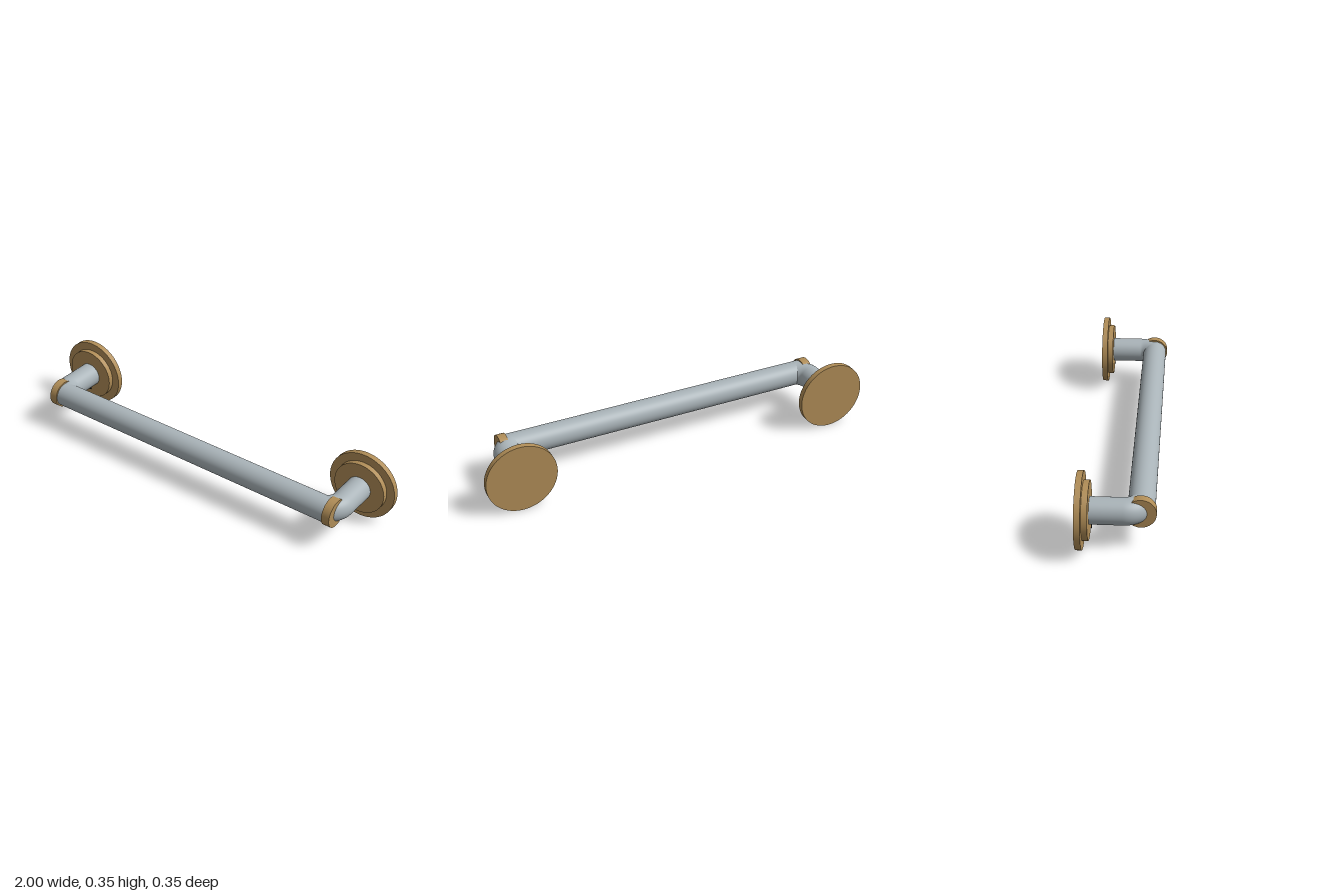
import * as THREE from 'three';

export function createModel() {
  const group = new THREE.Group();
  const steel = new THREE.MeshStandardMaterial({ color: 0xa9b3b8 });
  const brass = new THREE.MeshStandardMaterial({ color: 0xb08d57 });
  const dark = new THREE.MeshStandardMaterial({ color: 0x222222 });
  const midY = 0.174, barZ = 0.106, postX = 0.827;

  const add = (name, geometry, material, parent) => {
    const mesh = new THREE.Mesh(geometry, material);
    mesh.name = name;
    parent.add(mesh);
    return mesh;
  };

  // Solid disc or rod running along x or z between two positions
  const rod = (name, radius, axis, from, to, centre, material, parent) => {
    const geometry = new THREE.CylinderGeometry(radius, radius, to - from, 64);
    if (axis === 'x') geometry.rotateZ(Math.PI / 2);
    else geometry.rotateX(Math.PI / 2);
    const mesh = add(name, geometry, material, parent);
    mesh.position.set(...centre);
    mesh.position[axis] = (from + to) / 2;
  };

  // Horizontal grip bar
  rod('gripBar', 0.061, 'x', -0.815, 0.815, [0, midY, barZ], steel, group);

  for (const [side, s] of [['left', 1], ['right', -1]]) {
    const mount = new THREE.Group();
    mount.name = side + 'Mount';
    group.add(mount);
    const centre = [s * postX, midY, 0];

    // Stepped wall flange
    rod('wallFlange', 0.173, 'z', -0.173, -0.145, centre, brass, mount);
    rod('flangeStep', 0.132, 'z', -0.146, -0.118, centre, brass, mount);

    // Post that bends into the end of the bar
    const path = new THREE.CurvePath();
    const start = new THREE.Vector3(s * postX, midY, -0.12);
    const bend = new THREE.Vector3(s * postX, midY, 0.03);
    path.add(new THREE.LineCurve3(start, bend));
    path.add(new THREE.QuadraticBezierCurve3(
      bend,
      new THREE.Vector3(s * postX, midY, 0.07),
      new THREE.Vector3(s * 0.787, midY, 0.102)));
    add('post', new THREE.TubeGeometry(path, 40, 0.0612, 48), steel, mount);

    // End collar
    const inner = s * 0.804, outer = s * 0.845;
    rod('endCollar', 0.069, 'x', Math.min(inner, outer), Math.max(inner, outer),
      [0, midY, 0.105], brass, mount);

    // Small set screw under the post
    rod('setScrew', 0.008, 'z', -0.112, -0.109, [s * postX, 0.091, 0], dark, mount);
  }
  return group;
}
